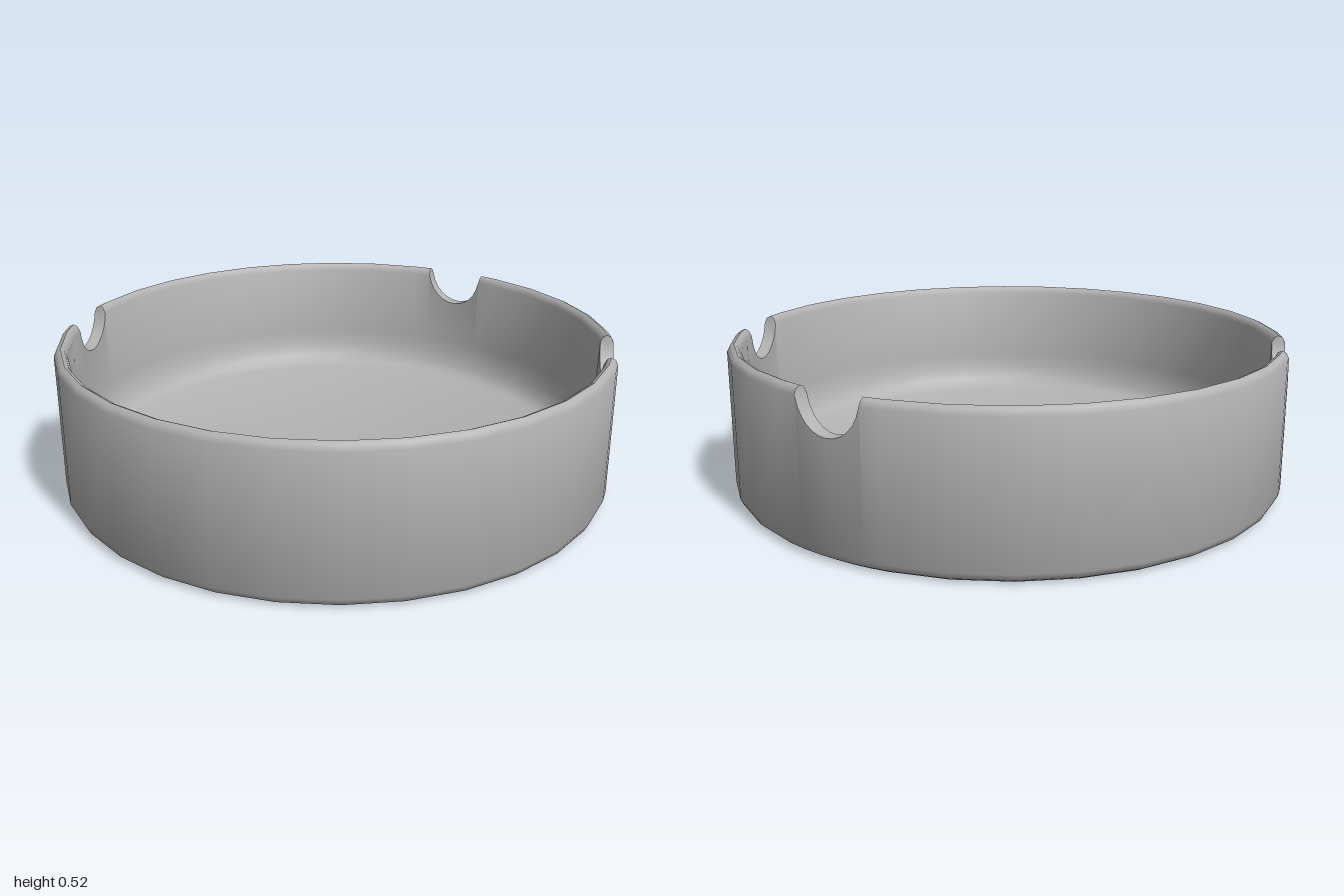
import * as THREE from 'three';
import { toCreasedNormals } from 'three/addons/utils/BufferGeometryUtils.js';

const SEGMENTS = 32;
const HEIGHT = 0.525;
const NOTCH_HALF = 0.125; // half angle of one notch
const NOTCH_DEPTH = 0.135;
const NOTCHES = [11, 192.4, 303.5].map(THREE.MathUtils.degToRad);

// Cross-section from the open foot, up the outside, over the rim, down to the floor
const PROFILE = [
  [0.965, 0], [0.985, 0.012], [0.997, 0.035], [0.997, 0.5], [0.988, 0.518],
  [0.973, HEIGHT], [0.96, 0.519], [0.95, 0.5], [0.945, 0.22], [0.937, 0.165],
  [0.92, 0.12], [0.9, 0.095], [0.87, 0.082], [0, 0.08],
];

// Angles around the bowl, with extra samples through each rounded notch
function ringAngles() {
  const list = [];
  for (let i = 0; i < SEGMENTS; i++) {
    const a = Math.PI / 2 + (i / SEGMENTS) * Math.PI * 2;
    const angle = a % (Math.PI * 2);
    if (NOTCHES.every((n) => Math.abs(angle - n) > NOTCH_HALF + 0.01)) {
      list.push({ angle, top: HEIGHT });
    }
  }
  for (const n of NOTCHES) {
    for (let k = 0; k <= 14; k++) {
      const t = (k / 14) * Math.PI;
      list.push({
        angle: n - Math.cos(t) * NOTCH_HALF,
        top: HEIGHT - Math.sin(t) * NOTCH_DEPTH,
      });
    }
  }
  return list.sort((a, b) => a.angle - b.angle);
}

// Sweep the cross-section round the bowl, trimming it to the local rim height
function bowlGeometry() {
  const rings = ringAngles();
  const count = PROFILE.length;
  const positions = [];
  const index = [];
  rings.forEach(({ angle, top }, i) => {
    for (const [r, y] of PROFILE) {
      positions.push(r * 0.982 * Math.cos(angle), Math.min(y, top), r * Math.sin(angle));
    }
    const next = (i + 1) % rings.length;
    for (let j = 0; j < count - 1; j++) {
      const a = i * count + j;
      const b = next * count + j;
      index.push(a, a + 1, b);
      if (j < count - 2) index.push(a + 1, b + 1, b);
    }
  });
  const geometry = new THREE.BufferGeometry();
  geometry.setAttribute('position', new THREE.Float32BufferAttribute(positions, 3));
  geometry.setIndex(index);
  return toCreasedNormals(geometry, 0.85);
}

export function createModel() {
  const group = new THREE.Group();
  group.name = 'ashtray';

  const grey = new THREE.MeshStandardMaterial({ color: 0xb2b2b2, side: THREE.DoubleSide });
  grey.name = 'grey';

  // Notched bowl with a hollow foot
  const bowl = new THREE.Mesh(bowlGeometry(), grey);
  bowl.name = 'notchedBowl';
  group.add(bowl);

  return group;
}
